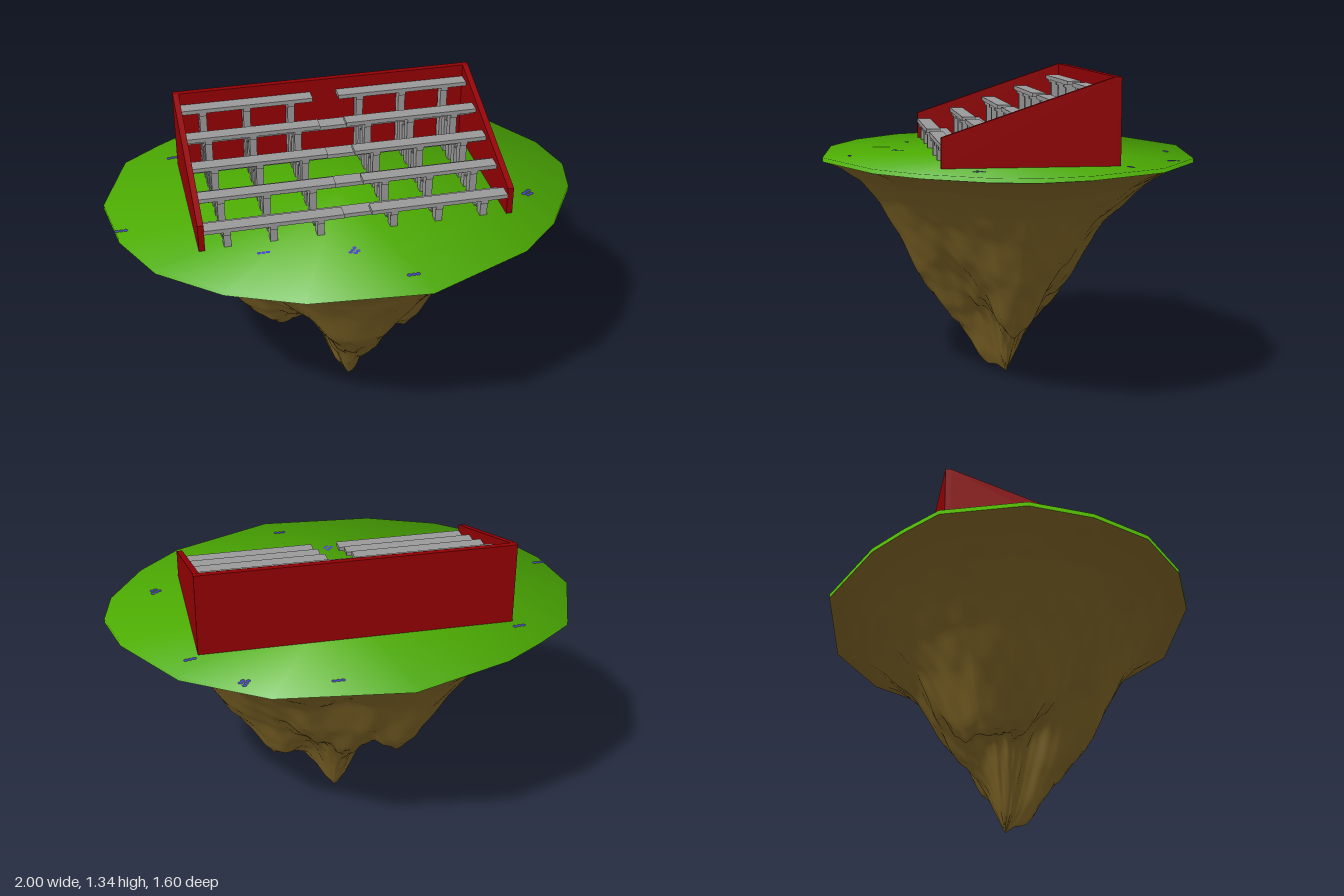
import * as THREE from 'three';

const GROUND = 0.99;

// Island rim, listed as x, z corners
const RIM = [
  [1, 0.01], [0.96, 0.19], [0.81, 0.43], [0.63, 0.6], [0.19, 0.795], [-0.3, 0.755],
  [-0.6, 0.63], [-0.84, 0.43], [-0.96, 0.18], [-1, -0.09], [-0.88, -0.42], [-0.72, -0.54],
  [-0.55, -0.65], [-0.13, -0.8], [0.42, -0.73], [0.75, -0.52], [0.95, -0.2],
];

// Underside heights along eight directions, from the centre (0) to the rim (1)
const STEPS = [0, 0.05, 0.1, 0.15, 0.2, 0.3, 0.35, 0.4, 0.5, 0.6, 0.7, 0.8, 0.9, 1];
const SPOKES = [
  [0, 0.06, 0.14, 0.20, 0.225, 0.23, 0.29, 0.37, 0.49, 0.66, 0.79, 0.88, 0.935, 0.975],
  [0, 0.07, 0.17, 0.26, 0.33, 0.40, 0.45, 0.50, 0.60, 0.72, 0.82, 0.90, 0.945, 0.975],
  [0, 0.03, 0.05, 0.08, 0.14, 0.25, 0.30, 0.35, 0.45, 0.63, 0.78, 0.88, 0.94, 0.975],
  [0, 0.08, 0.23, 0.35, 0.42, 0.50, 0.54, 0.58, 0.67, 0.76, 0.84, 0.90, 0.945, 0.975],
  [0, 0.08, 0.22, 0.35, 0.37, 0.33, 0.36, 0.42, 0.54, 0.67, 0.78, 0.87, 0.93, 0.975],
  [0, 0.09, 0.22, 0.34, 0.37, 0.35, 0.31, 0.36, 0.54, 0.69, 0.79, 0.87, 0.93, 0.975],
  [0, 0.09, 0.17, 0.22, 0.27, 0.37, 0.44, 0.50, 0.69, 0.77, 0.84, 0.90, 0.945, 0.975],
  [0, 0.09, 0.19, 0.28, 0.34, 0.41, 0.46, 0.52, 0.64, 0.74, 0.82, 0.89, 0.94, 0.975],
];

function along(spoke, t) {
  let i = 0;
  while (i < STEPS.length - 2 && t > STEPS[i + 1]) i++;
  return THREE.MathUtils.mapLinear(t, STEPS[i], STEPS[i + 1], spoke[i], spoke[i + 1]);
}

function rockHeight(t, angle) {
  const s = (angle / (Math.PI / 4) + 8) % 8;
  const k = Math.floor(s) % 8;
  const f = THREE.MathUtils.smoothstep(s - Math.floor(s), 0, 1);
  const y = THREE.MathUtils.lerp(along(SPOKES[k], t), along(SPOKES[(k + 1) % 8], t), f);
  // Weathered creases, fading out at the tip and the rim
  const fade = Math.min(1, t * 4) * Math.pow(1 - t, 1.4);
  const crease = Math.sin(angle * 11 + t * 9) * 0.014
    + Math.sin(angle * 5 - t * 23) * 0.015
    + Math.sin(angle * 17 + t * 37) * 0.011
    + Math.sin(angle * 23 - t * 52) * 0.007;
  return y + crease * fade;
}

function rockGeometry() {
  const perEdge = 7, rings = 60, n = RIM.length * perEdge;
  const pos = [], index = [];
  for (let i = 0; i <= rings; i++) {
    const t = i / rings;
    for (let j = 0; j < n; j++) {
      const a = RIM[Math.floor(j / perEdge)];
      const b = RIM[(Math.floor(j / perEdge) + 1) % RIM.length];
      const f = (j % perEdge) / perEdge;
      const x = THREE.MathUtils.lerp(a[0], b[0], f);
      const z = THREE.MathUtils.lerp(a[1], b[1], f);
      pos.push(x * t + 0.02 * (1 - t) ** 4, rockHeight(t, Math.atan2(z / 0.8, x)), z * t);
      if (i < rings) {
        const p = i * n + j, q = i * n + (j + 1) % n;
        index.push(p, p + n, q + n, p, q + n, q);
      }
    }
  }
  const g = new THREE.BufferGeometry();
  g.setAttribute('position', new THREE.Float32BufferAttribute(pos, 3));
  g.setIndex(index);
  g.computeVertexNormals();
  return g;
}

// Flat disc with a thin edge; rim normals lean outward for a soft, rounded shading
function turfGeometry() {
  const pos = [0, GROUND, 0], normal = [0, 1, 0], index = [];
  RIM.forEach(([x, z], j) => {
    const lean = new THREE.Vector3(x, 0, z).setLength(0.7);
    for (const y of [GROUND, GROUND - 0.018]) {
      pos.push(x, y, z);
      normal.push(lean.x, 0.7, lean.z);
    }
    const a = 1 + 2 * j, b = 1 + 2 * ((j + 1) % RIM.length);
    index.push(0, b, a, a, b, b + 1, a, b + 1, a + 1);
  });
  const g = new THREE.BufferGeometry();
  g.setAttribute('position', new THREE.Float32BufferAttribute(pos, 3));
  g.setAttribute('normal', new THREE.Float32BufferAttribute(normal, 3));
  g.setIndex(index);
  return g;
}

export function createModel() {
  const mat = (name, color) => {
    const m = new THREE.MeshStandardMaterial({ color });
    m.name = name;
    return m;
  };
  const grass = mat('grass green', 0x4dad03);
  const rock = mat('rock brown', 0x7e6426);
  const red = mat('wall red', 0x920003);
  const grey = mat('bench grey', 0x999999);
  const blue = mat('flower blue', 0x4a45c0);

  const model = new THREE.Group();
  model.name = 'floatingIslandBleachers';
  const add = (parent, name, geometry, material) => {
    const mesh = new THREE.Mesh(geometry, material);
    mesh.name = name;
    parent.add(mesh);
    return mesh;
  };
  const box = (parent, name, material, w, h, d, x, y, z) => {
    const mesh = add(parent, name, new THREE.BoxGeometry(w, h, d), material);
    mesh.position.set(x, y, z);
    return mesh;
  };

  // Island
  add(model, 'turf', turfGeometry(), grass);
  add(model, 'rock', rockGeometry(), rock);

  // Walls: a tall back and two sloping sides
  const stand = new THREE.Group();
  stand.name = 'bleachers';
  model.add(stand);
  box(stand, 'backWall', red, 1.31, 0.35, 0.025, 0, GROUND + 0.175, -0.3575);
  const side = new THREE.Shape([[-0.34, 0], [0.345, 0], [0.345, 0.35], [-0.34, 0.12]]
    .map(([x, y]) => new THREE.Vector2(x, y)));
  for (const s of [-1, 1]) {
    const wall = new THREE.ExtrudeGeometry(side, { depth: 0.025, bevelEnabled: false });
    wall.rotateY(Math.PI / 2).translate(s * 0.6425 - 0.0125, GROUND, 0);
    add(stand, s > 0 ? 'leftWall' : 'rightWall', wall, red);
  }

  // Nine boards: split seats alternate with full-width footboards
  const legXs = [-0.537, -0.348, -0.155, 0.15, 0.34, 0.533];
  for (let i = 0; i < 9; i++) {
    const z = 0.31 - i * 0.078;
    const isSeat = i % 2 === 0;
    const y = isSeat ? 1.073 + i * 0.0255 : 1.025 + (i - 1) * 0.0255;
    if (isSeat) {
      box(stand, 'seatRight', grey, 0.57, 0.018, 0.06, -0.345, y, z);
      box(stand, 'seatLeft', grey, 0.575, 0.018, 0.06, 0.3425, y, z);
    } else {
      box(stand, 'footboard', grey, 1.26, 0.018, 0.066, 0, y, z);
    }
    // Bracket under each board, carried on a post
    const under = y - 0.009;
    const h = under - GROUND;
    for (const x of legXs) {
      box(stand, 'bracket', grey, 0.03, 0.014, isSeat ? 0.06 : 0.094, x, under - 0.007, z);
      box(stand, 'post', grey, 0.03, h, 0.042, x, GROUND + h / 2, z);
    }
  }

  // Small flat flowers in the grass: x, z, turn, and whether it is a cluster
  const flowers = [
    [0.15, -0.68, 0, 0], [0.5, -0.625, 1, 1], [0.69, -0.4, 0.2, 0], [-0.67, -0.415, 0.1, 0],
    [-0.945, 0.125, 0, 0], [-0.6, 0.195, 0, 0], [-0.405, 0.405, 0, 0], [-0.055, 0.465, 0.9, 1],
    [0.14, 0.68, 0, 0], [0.765, 0.2, 0.6, 1],
  ];
  for (const [x, z, turn, cluster] of flowers) {
    const flower = new THREE.Group();
    flower.name = 'flower';
    flower.position.set(x, GROUND + 0.0015, z);
    flower.rotation.y = turn;
    const dots = [[-0.018, 0], [0, 0], [0.018, 0]];
    if (cluster) dots.push([0.006, 0.022], [-0.012, 0.02]);
    for (const [px, pz] of dots) {
      const petal = add(flower, 'petal', new THREE.CircleGeometry(0.0095, 8), blue);
      petal.rotation.x = -Math.PI / 2;
      petal.position.set(px, 0, pz);
    }
    model.add(flower);
  }
  return model;
}
